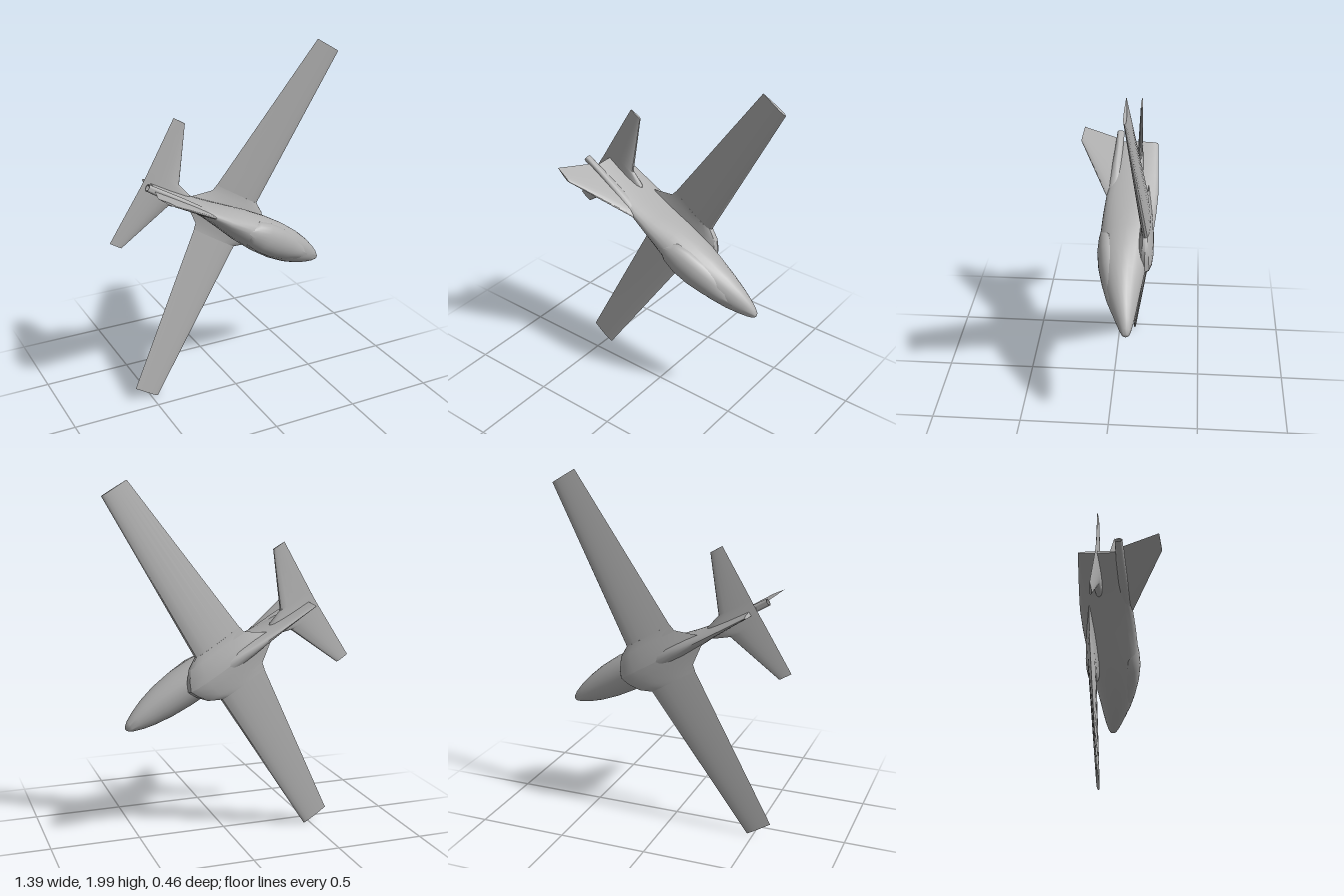
import * as THREE from 'three';
import { toCreasedNormals } from 'three/addons/utils/BufferGeometryUtils.js';

// Skin a list of closed loops (arrays of [x, y, z]) and cap both ends
function loft(loops, crease = 0.6) {
  const n = loops[0].length, pos = loops.flat(2), idx = [];
  for (let i = 0; i < loops.length - 1; i++) {
    for (let j = 0; j < n; j++) {
      const a = i * n + j, b = i * n + (j + 1) % n;
      idx.push(a, b, a + n, b, b + n, a + n);
    }
  }
  const last = (loops.length - 1) * n;
  for (let j = 1; j < n - 1; j++) {
    idx.push(0, j + 1, j, last, last + j, last + j + 1);
  }
  // Turn the skin outward if its enclosed volume is negative
  const p = (k) => new THREE.Vector3().fromArray(pos, idx[k] * 3);
  let volume = 0;
  for (let k = 0; k < idx.length; k += 3) volume += p(k).dot(p(k + 1).cross(p(k + 2)));
  if (volume < 0) idx.reverse();
  const g = new THREE.BufferGeometry();
  g.setAttribute('position', new THREE.Float32BufferAttribute(pos, 3));
  g.setIndex(idx);
  return toCreasedNormals(g, crease);
}

// Wing section: rounded leading edge, thin trailing edge; place(u, t) sets the plane
function airfoil(trail, lead, thick, place) {
  const loop = [], n = 20;
  for (let i = 0; i < n; i++) {
    const a = (i / n) * Math.PI * 2;
    const c = (1 - Math.cos(a)) / 2;
    const t = Math.sign(Math.sin(a)) * thick * 2 * (Math.sqrt(c) - c);
    loop.push(place(lead + (trail - lead) * c, t));
  }
  return loop;
}

// Oval section across the fuselage
function oval(u, half, top, bottom, n = 24) {
  return Array.from({ length: n }, (_, i) => {
    const a = (i / n) * Math.PI * 2;
    return [u, half * Math.cos(a), (top + bottom) / 2 + ((top - bottom) / 2) * Math.sin(a)];
  });
}

export function createModel() {
  const root = new THREE.Group();
  const plane = new THREE.Group();
  plane.name = 'aircraft';
  // Nose along local x, left wing along local y, top along z; banked in the frame
  plane.rotation.z = -0.542;
  plane.position.set(0.015, 1.025, 0);
  root.add(plane);

  const grey = new THREE.MeshStandardMaterial({ color: 0xb0b0b0 });
  grey.name = 'plain grey';
  const add = (name, geometry) => {
    const mesh = new THREE.Mesh(geometry, grey);
    mesh.name = name;
    plane.add(mesh);
  };

  // Fuselage: pointed nose, deep middle, knife-thin tail [u, half width, top, bottom]
  const body = [
    [-0.555, 0.012, -0.01, -0.22], [-0.45, 0.018, 0.015, -0.225], [-0.33, 0.027, 0.035, -0.231],
    [-0.2, 0.042, 0.055, -0.235], [-0.08, 0.064, 0.066, -0.229], [0.05, 0.09, 0.073, -0.217],
    [0.18, 0.105, 0.076, -0.2], [0.3, 0.108, 0.058, -0.181], [0.42, 0.098, 0.026, -0.163],
    [0.52, 0.078, -0.01, -0.149], [0.59, 0.056, -0.042, -0.138], [0.64, 0.034, -0.066, -0.127],
    [0.664, 0.017, -0.081, -0.118], [0.672, 0.004, -0.094, -0.104],
  ];
  add('fuselage', loft(body.map((s) => oval(...s)), 0.9));

  // Canopy, a shallow bulge over the front upper body
  const canopy = [
    [0.04, 0.02, 0.072, 0.0], [0.1, 0.075, 0.08, -0.03], [0.18, 0.09, 0.083, -0.05],
    [0.28, 0.091, 0.07, -0.07], [0.38, 0.08, 0.044, -0.085], [0.47, 0.058, 0.014, -0.09],
    [0.54, 0.025, -0.018, -0.09],
  ];
  add('canopy', loft(canopy.map((s) => oval(...s)), 0.9));

  // Exhaust pipe along the spine, with a recessed mouth
  const pipe = [
    [-0.59, 0.013, 0.013, -0.013], [-0.624, 0.015, 0.017, -0.015], [-0.625, 0.02, 0.021, -0.02],
    [-0.52, 0.022, 0.028, -0.02], [-0.4, 0.025, 0.038, -0.02], [-0.28, 0.024, 0.047, -0.02],
    [-0.15, 0.015, 0.055, -0.01],
  ];
  add('exhaustPipe', loft(pipe.map((s) => oval(...s, 16)), 0.9));

  for (const [side, word] of [[1, 'left'], [-1, 'right']]) {
    // Station: [span, trailing edge, leading edge, height, thickness]
    const panel = (stations) => loft(stations.map(([v, trail, lead, z, thick]) =>
      airfoil(trail, lead, thick, (u, t) => [u, side * v, z + t])));

    // Tapered wing with dihedral
    add(word + 'Wing', panel([
      [0.0, -0.15, 0.17, -0.19, 0.05], [0.14, -0.136, 0.158, -0.18, 0.046],
      [1.117, -0.042, 0.115, -0.096, 0.016],
    ]));
    // Flared fairing where the wing meets the body
    add(word + 'WingFairing', panel([
      [0.0, -0.29, 0.29, -0.18, 0.09], [0.05, -0.22, 0.265, -0.18, 0.085],
      [0.105, -0.145, 0.222, -0.181, 0.06], [0.142, -0.137, 0.159, -0.18, 0.047],
    ]));
    // Tailplane with its leading-edge root flare
    add(word + 'Tailplane', panel([
      [0.0, -0.595, -0.27, -0.122, 0.05], [0.035, -0.595, -0.3, -0.122, 0.04],
      [0.065, -0.596, -0.39, -0.122, 0.027], [0.38, -0.601, -0.525, -0.132, 0.012],
    ]));
  }

  // Swept fin standing on the spine; the tip slopes down to the rear
  const fin = [[-0.02, -0.57, -0.1, 0.028, 0], [0.06, -0.6, -0.19, 0.024, 0], [0.222, -0.657, -0.555, 0.01, 0.13]];
  add('fin', loft(fin.map(([z, trail, lead, thick, slope]) =>
    airfoil(trail, lead, thick, (u, t) => [u, t, z + (u + 0.6) * slope]))));

  return root;
}
